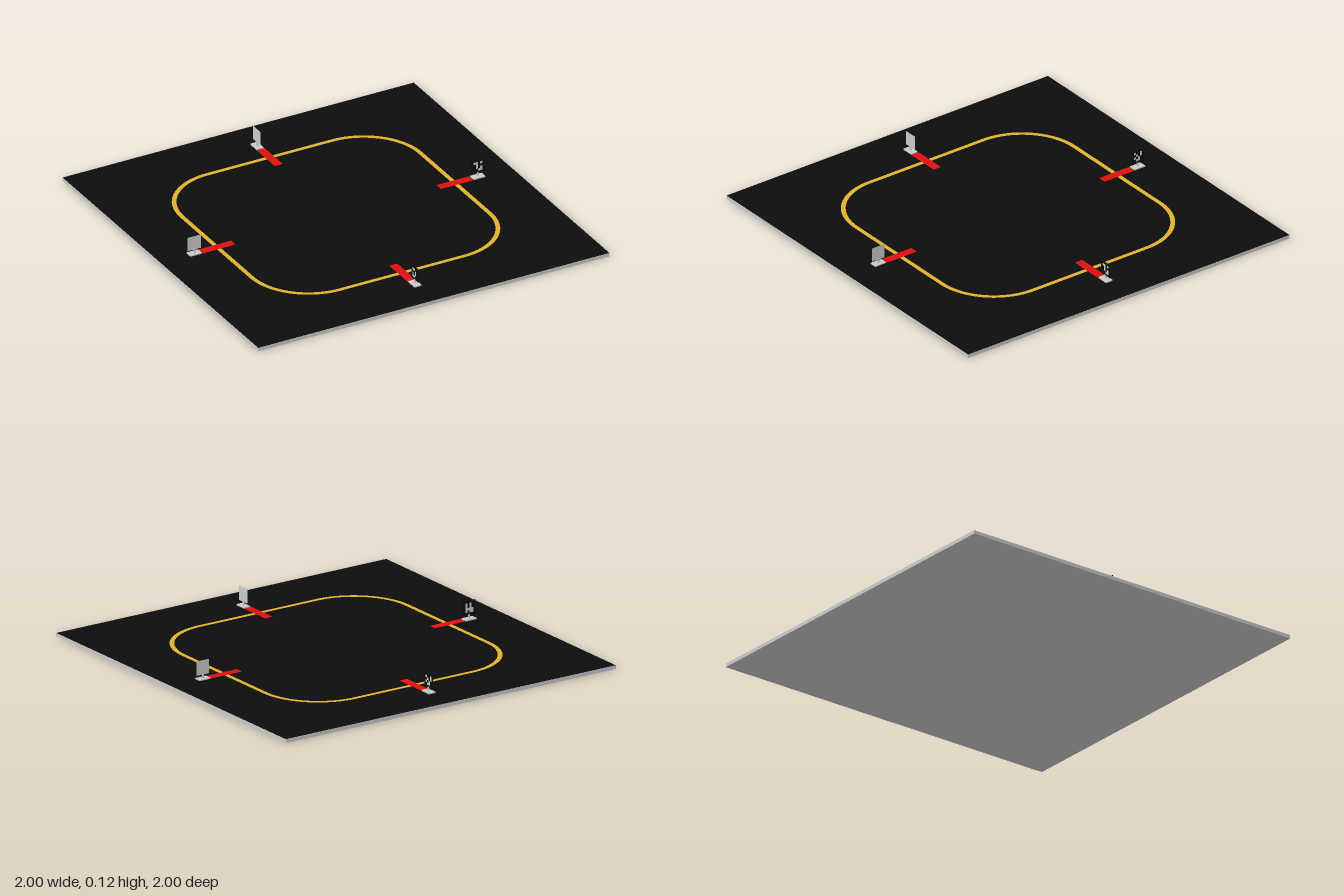
import * as THREE from 'three';

const mat = (color, side = THREE.FrontSide) => new THREE.MeshStandardMaterial({ color, side });
const grey = mat(0xcccccc);
const black = mat(0x0d0d0d);
const yellow = mat(0xe0b030);
const red = mat(0xdd1010);

function part(name, geometry, material, x = 0, y = 0, z = 0) {
  const mesh = new THREE.Mesh(geometry, material);
  mesh.name = name;
  mesh.position.set(x, y, z);
  return mesh;
}

const flat = (w, d) => new THREE.PlaneGeometry(w, d).rotateX(-Math.PI / 2);

// Rounded square outline with half size h and corner radius r
function roundedSquare(Type, h, r) {
  const s = new Type(), c = h - r;
  s.moveTo(h, -c);
  s.lineTo(h, c);
  s.absarc(c, c, r, 0, Math.PI / 2);
  s.lineTo(-c, h);
  s.absarc(-c, c, r, Math.PI / 2, Math.PI);
  s.lineTo(-h, -c);
  s.absarc(-c, -c, r, Math.PI, Math.PI * 1.5);
  s.lineTo(c, -h);
  s.absarc(c, -c, r, Math.PI * 1.5, Math.PI * 2);
  return s;
}

// Marker plate facing +z: grey back, black front, light square cells
function createMarker(seed) {
  const marker = new THREE.Group();
  marker.name = 'markerPlate';
  const size = 0.076, n = 4, cell = size / 6;
  const back = part('plateBack', new THREE.PlaneGeometry(size, size), grey);
  back.rotation.y = Math.PI;
  marker.add(back, part('plateFront', new THREE.PlaneGeometry(size, size), black, 0, 0, 0.0005));
  let state = seed * 7919 + 17;
  for (let i = 0; i < n * n; i++) {
    state = (state * 1103515245 + 12345) % 2147483648;
    if (state / 2147483648 < 0.5) continue;
    const x = ((i % n) - (n - 1) / 2) * cell;
    const y = (Math.floor(i / n) - (n - 1) / 2) * cell;
    marker.add(part('markerCell', new THREE.PlaneGeometry(cell, cell), grey, x, y, 0.0015));
  }
  return marker;
}

// Stop line with its sign, laid out along +x
function createStation(index) {
  const station = new THREE.Group();
  station.name = 'station';
  station.add(part('stopLine', flat(0.185, 0.046), red, 0.677, 0.0225, 0));
  station.add(part('signBase', new THREE.BoxGeometry(0.066, 0.006, 0.04), grey, 0.807, 0.023, 0));
  station.add(part('signPost', new THREE.BoxGeometry(0.008, 0.022, 0.006), grey, 0.807, 0.036, 0));
  const marker = createMarker(index + 1);
  marker.position.set(0.808, 0.081, 0);
  station.add(marker);
  station.rotation.y = index * Math.PI / 2;
  return station;
}

export function createModel() {
  const model = new THREE.Group();
  model.name = 'trackBoard';

  // Board with a dark top surface
  model.add(part('board', new THREE.BoxGeometry(2, 0.019, 2), grey, 0, 0.0095, 0));
  model.add(part('boardSurface', flat(2, 2), black, 0, 0.02, 0));

  // Closed yellow line
  const outline = roundedSquare(THREE.Shape, 0.689, 0.333);
  outline.holes.push(roundedSquare(THREE.Path, 0.665, 0.309));
  const line = new THREE.ShapeGeometry(outline, 24).rotateX(-Math.PI / 2);
  model.add(part('trackLine', line, yellow, 0, 0.0212, 0));

  // One station in the middle of every side
  for (let i = 0; i < 4; i++) model.add(createStation(i));
  return model;
}
